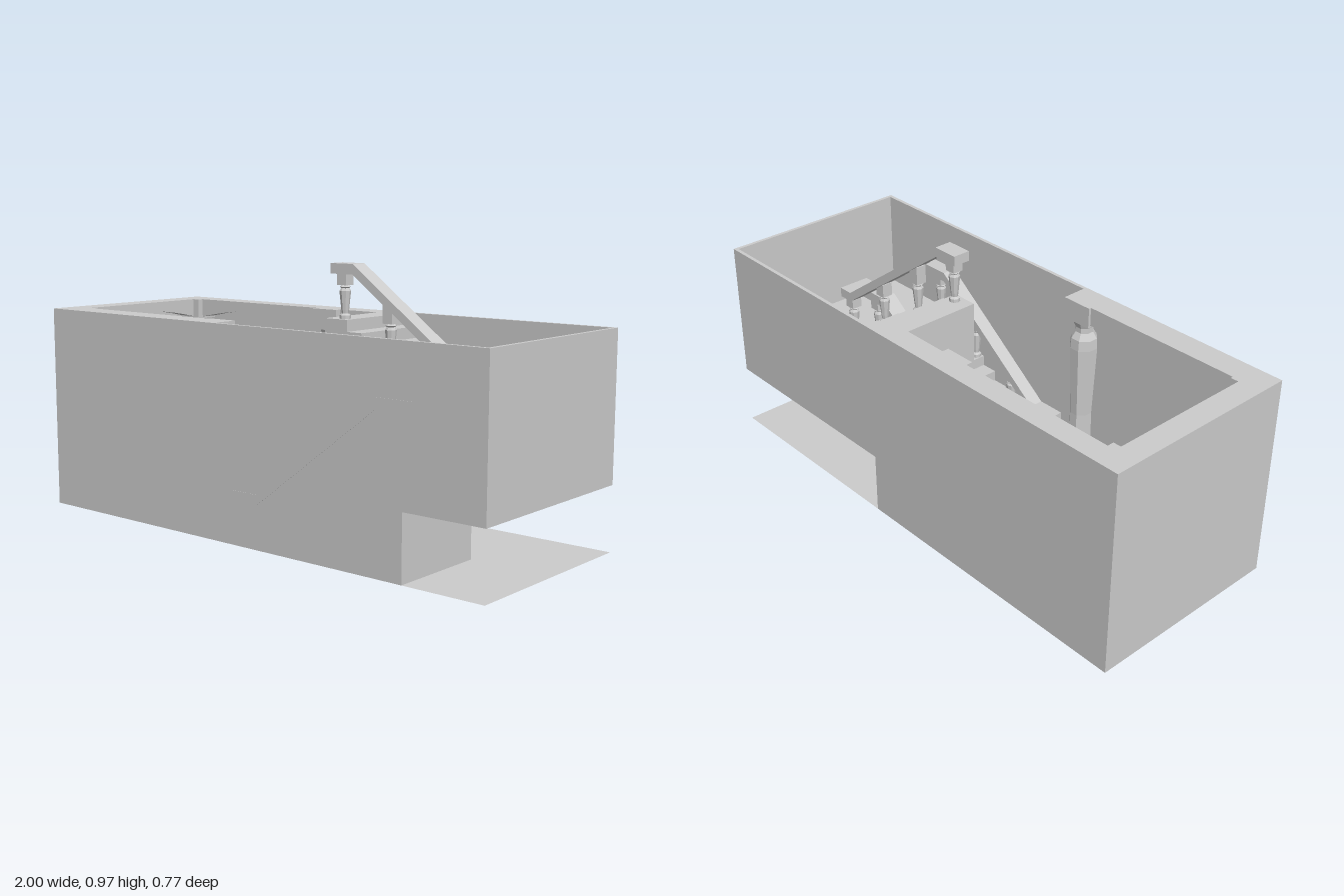
import * as THREE from 'three';

export function createModel() {
  const model = new THREE.Group();
  const mat = new THREE.MeshStandardMaterial({ color: 0xcccccc, flatShading: true, side: THREE.DoubleSide });
  const H = 0.77, D = 0.385, LANDING = 0.385, SOFFIT = 0.235, T = 0.014;

  const add = (name, geo, parent = model) => {
    const m = new THREE.Mesh(geo, mat);
    m.name = name;
    parent.add(m);
    return m;
  };
  // Box given by its minimum and maximum on each axis
  const box = (name, x0, x1, y0, y1, z0, z1, parent) => {
    const g = new THREE.BoxGeometry(x1 - x0, y1 - y0, z1 - z0);
    g.translate((x0 + x1) / 2, (y0 + y1) / 2, (z0 + z1) / 2);
    return add(name, g, parent);
  };
  // Outline in x and y, extruded from z0 to z1
  const slab = (name, pts, z0, z1, parent) => {
    const shape = new THREE.Shape(pts.map(p => new THREE.Vector2(p[0], p[1])));
    const g = new THREE.ExtrudeGeometry(shape, { depth: z1 - z0, bevelEnabled: false });
    g.translate(0, 0, z0);
    return add(name, g, parent);
  };

  // Ground sheet and outer shell, cut away below the landing
  const ground = new THREE.PlaneGeometry(2, 2 * D);
  ground.rotateX(-Math.PI / 2);
  add('floor', ground);
  const wall = cut => [[-1, 0], [cut, 0], [cut, SOFFIT], [1, SOFFIT], [1, H], [-1, H]];
  slab('frontWall', wall(0.69), D - T, D);
  slab('backWall', wall(0.16), -D, -D + T);
  box('leftEndWall', -1, -1 + T, 0, H, -D, D);
  box('rightEndWall', 1 - T, 1, SOFFIT, H, -D, D);

  // Stair flights as stepped solids
  const RISERS = 9, RUN = 0.0675, RISE = LANDING / RISERS;
  const flight = (x0, dir, y0, end, base) => {
    const pts = [[x0, base]];
    for (let i = 0; i < RISERS; i++) {
      pts.push([x0 + dir * RUN * i, y0 + RISE * i], [x0 + dir * RUN * i, y0 + RISE * (i + 1)]);
    }
    pts.push([end, y0 + LANDING], [end, base]);
    return pts.filter((p, i) => i === 0 || p[0] !== pts[i - 1][0] || p[1] !== pts[i - 1][1]);
  };
  slab('lowerFlight', flight(0.07, 1, 0, 0.69, 0), 0, D - T);
  slab('upperFlight', flight(0.69, -1, LANDING, 0.05, SOFFIT), -D + T, 0);
  box('landing', 0.69, 1 - T, SOFFIT, LANDING, -D + T, D - T);
  box('upperFloorSupport', 0.05, 0.16, 0, SOFFIT, -D + T, 0);
  box('underStairWall', 0.16, 0.69, 0, SOFFIT, 0, T);

  // Turned baluster with a square head, fitted between two heights
  const baluster = (x, z, y0, y1, parent) => {
    const g = new THREE.Group();
    g.name = 'baluster';
    const k = Math.min(y1 - y0, 0.165);
    const prof = [[0.02, 0], [0.02, 0.08], [0.012, 0.12], [0.014, 0.2], [0.021, 0.62], [0.015, 0.68],
      [0.02, 0.71], [0.014, 0.75]].map(p => new THREE.Vector2(p[0], p[1] * k));
    add('balusterShaft', new THREE.LatheGeometry(prof, 8), g).position.set(x, y0, z);
    box('balusterHead', x - 0.021, x + 0.021, y0 + k * 0.75, y1 + 0.012, z - 0.021, z + 0.021, g);
    parent.add(g);
  };
  // Handrail: flat, sloping, flat
  const railing = (name, top, z0, z1, posts) => {
    const g = new THREE.Group();
    g.name = name;
    const th = 0.037;
    const under = top.map(p => [p[0], p[1] - th]).reverse();
    slab('handrail', [...top, ...under], z0, z1, g);
    for (const [x, foot] of posts) {
      let i = 0;
      while (i < 2 && x > top[i + 1][0]) i++;
      const [a, b] = [top[i], top[i + 1]];
      const y = a[1] + (b[1] - a[1]) * (x - a[0]) / (b[0] - a[0]);
      baluster(x, (z0 + z1) / 2, foot, y - th, g);
    }
    model.add(g);
  };
  const lowFoot = x => Math.min(RISERS, Math.max(0, Math.floor((x - 0.07) / RUN) + 1)) * RISE;
  const highFoot = x => H - Math.max(0, Math.ceil((x - 0.15) / RUN)) * RISE;
  const lowTop = end => [[-0.04, 0.195], [0.07, 0.195], [0.585, 0.585], [end, 0.585]];
  const lowPosts = [0.01, 0.22, 0.43, 0.645].map(x => [x, lowFoot(x)]);
  railing('wallRailing', lowTop(0.735), 0.315, D + 0.001, lowPosts);
  railing('middleRailing', lowTop(0.76), -0.004, 0.06, lowPosts);
  railing('upperRailing', [[0.075, 0.967], [0.175, 0.967], [0.7, 0.585], [0.76, 0.585]], -0.067, 0,
    [0.115, 0.32, 0.525, 0.725].map(x => [x, Math.max(LANDING, highFoot(x))]));

  // Arched beams along the room walls, flush with the rim
  const archBeam = (a, b) => {
    const pts = [[a, H], [a, 0.685]];
    for (let i = 1; i < 12; i++) {
      const t = i / 12;
      pts.push([a + (b - a) * t, 0.685 + 0.05 * Math.sin(Math.PI * t)]);
    }
    pts.push([b, 0.685], [b, H]);
    return pts;
  };
  slab('backBeam', archBeam(-0.94, -0.19), -D + T, -0.3);
  slab('backShortBeam', archBeam(-0.19, 0.05), -D + T, -0.3);
  slab('frontBeam', archBeam(-0.94, -0.19), 0.285, D - T);
  const endBeam = slab('endBeam', archBeam(-0.335, 0.335), 0, 0.09 - T);
  endBeam.rotation.y = Math.PI / 2;
  endBeam.position.x = -1 + T;

  // Octagonal pillars with square capitals
  const pillarProfile = [[0.06, 0], [0.06, 0.06], [0.046, 0.09], [0.042, 0.3], [0.053, 0.58], [0.05, 0.62],
    [0.034, 0.645], [0.034, 0.665], [0.045, 0.69]].map(p => new THREE.Vector2(...p));
  for (const s of [-1, 1]) {
    for (const x of [-0.94, -0.19]) {
      const g = new THREE.Group();
      g.name = 'pillar';
      const shaft = new THREE.LatheGeometry(pillarProfile, 8);
      shaft.rotateY(Math.PI / 8);
      add('pillarShaft', shaft, g).position.set(x, 0, s * 0.32);
      const zs = [s * 0.275, s * (D - T)].sort((a, b) => a - b);
      box('capital', Math.max(-1 + T, x - 0.06), x + 0.06, 0.69, H, zs[0], zs[1], g);
      model.add(g);
    }
  }

  // Wall mantels with stepped mouldings and legs
  const mantel = (x, z, halfLength, turn) => {
    const g = new THREE.Group();
    g.name = 'mantel';
    const L = halfLength;
    box('mantelShelf', -L, L, 0.45, 0.5, 0, 0.065, g);
    box('mantelMoulding', -L + 0.025, L - 0.025, 0.425, 0.45, 0, 0.05, g);
    box('mantelFrieze', -L + 0.04, L - 0.04, 0.37, 0.425, 0, 0.035, g);
    for (const s of [-1, 1]) {
      const c = s * (L - 0.07);
      box('mantelLeg', c - 0.03, c + 0.03, 0, 0.425, 0, 0.045, g);
    }
    g.position.set(x, 0, z);
    g.rotation.y = turn;
    model.add(g);
  };
  mantel(-0.56, -D + T, 0.25, 0);
  mantel(-1 + T, 0, 0.18, Math.PI / 2);

  // Wall lamp on the back pillar
  const lamp = new THREE.Group();
  lamp.name = 'wallLamp';
  box('lampPlate', -0.012, 0.012, -0.04, 0.04, -0.04, -0.03, lamp);
  box('lampArm', -0.004, 0.004, -0.035, -0.025, -0.04, 0, lamp);
  const lampProfile = [[0, -0.045], [0.008, -0.035], [0.016, -0.015], [0.016, 0.01], [0.006, 0.025], [0.006, 0.05]];
  add('lampBody', new THREE.LatheGeometry(lampProfile.map(p => new THREE.Vector2(...p)), 8), lamp);
  lamp.position.set(-0.195, 0.52, -0.24);
  model.add(lamp);

  return model;
}
